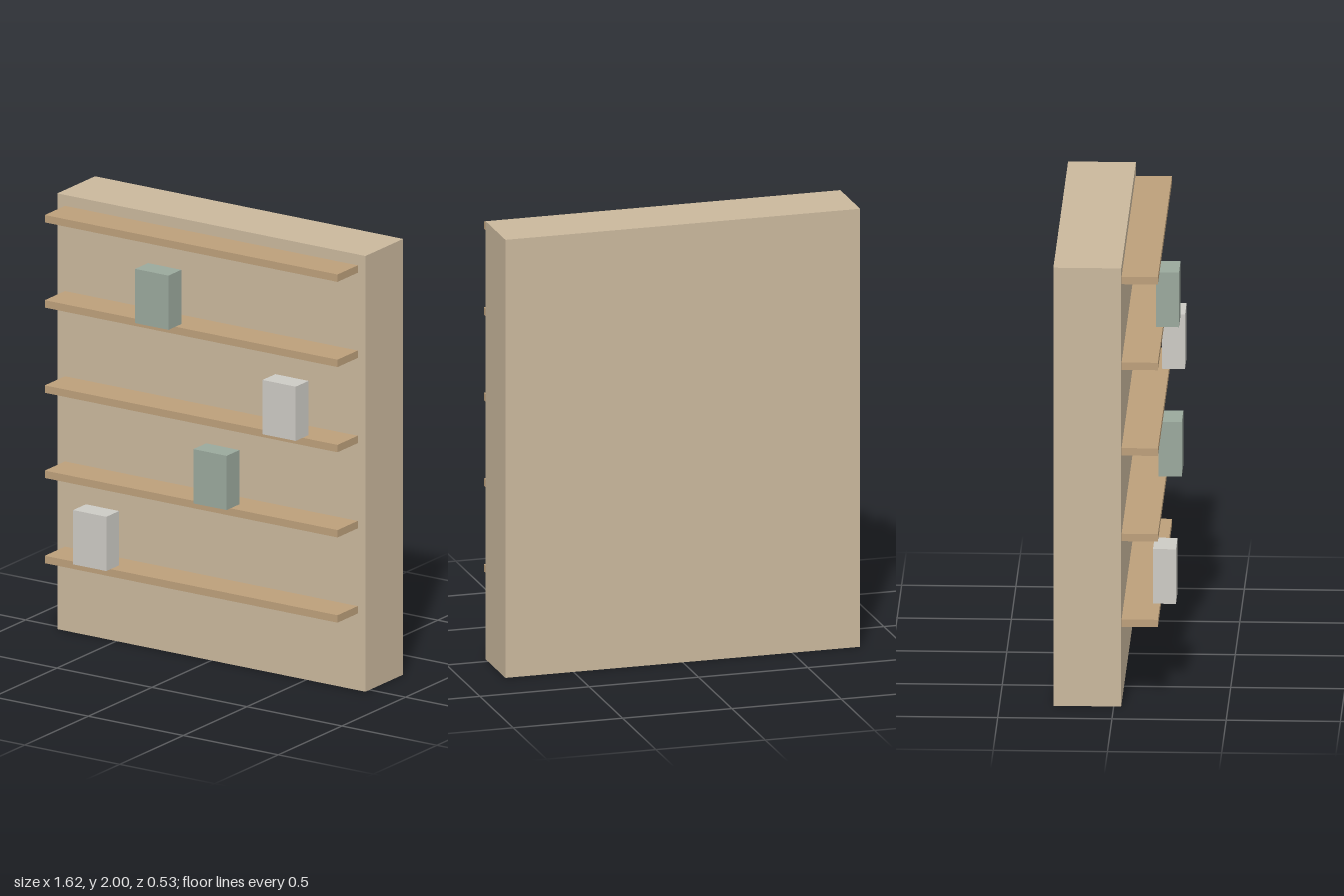
import * as THREE from 'three';

export function createModel() {
  const model = new THREE.Group();
  const material = (color) => new THREE.MeshStandardMaterial({ color });
  const wood = material(0xc9b79c);
  const shelfWood = material(0xbc9f7a);
  const green = material(0x9aa89c);
  const pale = material(0xcccac4);

  // Box given by its size and centre
  function addBox(name, size, centre, mat) {
    const mesh = new THREE.Mesh(new THREE.BoxGeometry(...size), mat);
    mesh.name = name;
    mesh.position.set(...centre);
    model.add(mesh);
  }

  // Solid cabinet body
  addBox('cabinet', [1.622, 2, 0.297], [0, 1, -0.1155], wood);

  // Five evenly spaced shelves on the front
  for (let i = 0; i < 5; i++) {
    addBox('shelf' + (i + 1), [1.541, 0.034, 0.16], [0, 0.369 + i * 0.391, 0.112], shelfWood);
  }

  // One box above each of the lower four shelves, past the shelf edge
  const items = [
    [-0.486, 0.525, pale],
    [0.147, 0.917, green],
    [0.511, 1.299, pale],
    [-0.159, 1.69, green],
  ];
  items.forEach(([x, y, mat], i) => {
    addBox('displayBox' + (i + 1), [0.175, 0.249, 0.101], [x, y, 0.213], mat);
  });

  return model;
}
